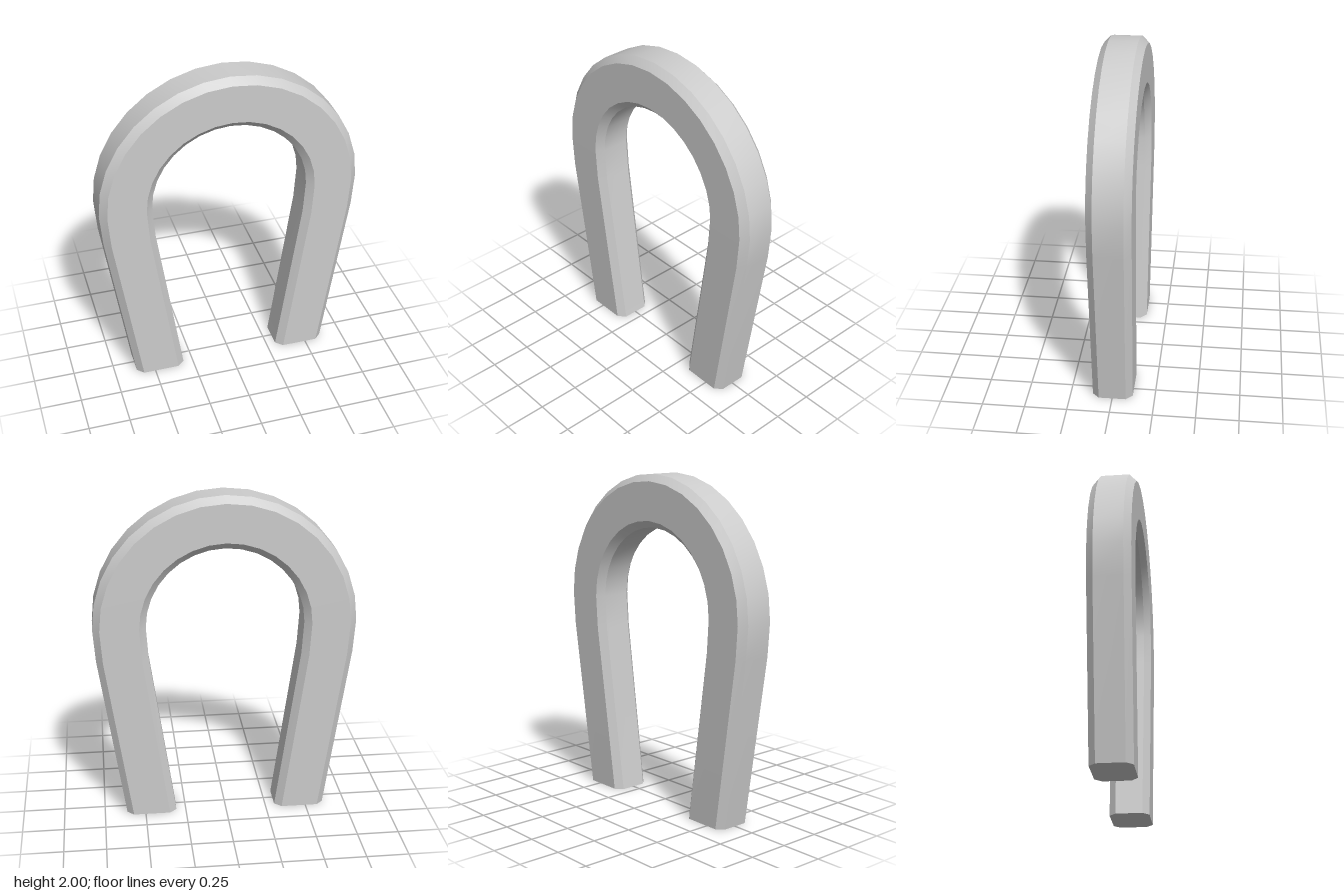
import * as THREE from 'three';

const ARC_Y = 1.22; // height of the bend's centre
const ARC_STEPS = 16;

// Stations along the U: x distances (outer, outer bevel, inner bevel, inner),
// half depths (side, face) and a placement rule turning a distance into x, y.
function makeStations() {
  const leg = (r, side, face, y) => ({ r, side, face, place: (d, sign) => [sign * d, y] });
  const foot = leg([0.613, 0.573, 0.35, 0.308], 0.08, 0.119, 0);
  const shoulder = leg([0.765, 0.725, 0.496, 0.455], 0.085, 0.125, 1.02);
  const bend = [];
  for (let i = 0; i <= ARC_STEPS; i++) {
    const a = (Math.PI * i) / ARC_STEPS;
    bend.push({
      r: [0.78, 0.739, 0.509, 0.468], side: 0.085, face: 0.125,
      place: (d) => [d * Math.cos(a), ARC_Y + d * Math.sin(a)],
    });
  }
  return [foot, shoulder, ...bend, shoulder, foot];
}

// Eight-sided bevelled cross-section at one station
function section({ r, side, face, place }, sign) {
  const [o, bo, bi, i] = r;
  return [
    [o, side], [o, -side], [bo, -face], [bi, -face],
    [i, -side], [i, side], [bi, face], [bo, face],
  ].map(([d, z]) => [...place(d, sign), z]);
}

function makeGeometry() {
  const stations = makeStations();
  const rings = stations.map((s, k) => section(s, k < stations.length / 2 ? 1 : -1));
  const positions = [];
  const index = [];

  // One strip per side: smooth along the bend, sharp at the bevels
  for (let i = 0; i < 8; i++) {
    const base = positions.length / 3;
    rings.forEach((ring, k) => {
      positions.push(...ring[i], ...ring[(i + 1) % 8]);
      if (k === 0) return;
      const a = base + (k - 1) * 2;
      index.push(a, a + 1, a + 3, a, a + 3, a + 2);
    });
  }

  // Flat pole ends
  for (const ring of [[...rings[0]].reverse(), rings[rings.length - 1]]) {
    const base = positions.length / 3;
    ring.forEach((p) => positions.push(...p));
    for (let i = 1; i < 7; i++) index.push(base, base + i, base + i + 1);
  }

  const geometry = new THREE.BufferGeometry();
  geometry.setAttribute('position', new THREE.Float32BufferAttribute(positions, 3));
  geometry.setIndex(index);
  geometry.computeVertexNormals();
  return geometry;
}

export function createModel() {
  const group = new THREE.Group();
  group.name = 'horseshoeMagnet';
  const body = new THREE.Mesh(
    makeGeometry(),
    new THREE.MeshStandardMaterial({ color: 0xcccccc }),
  );
  body.name = 'magnetBody';
  group.add(body);
  return group;
}
